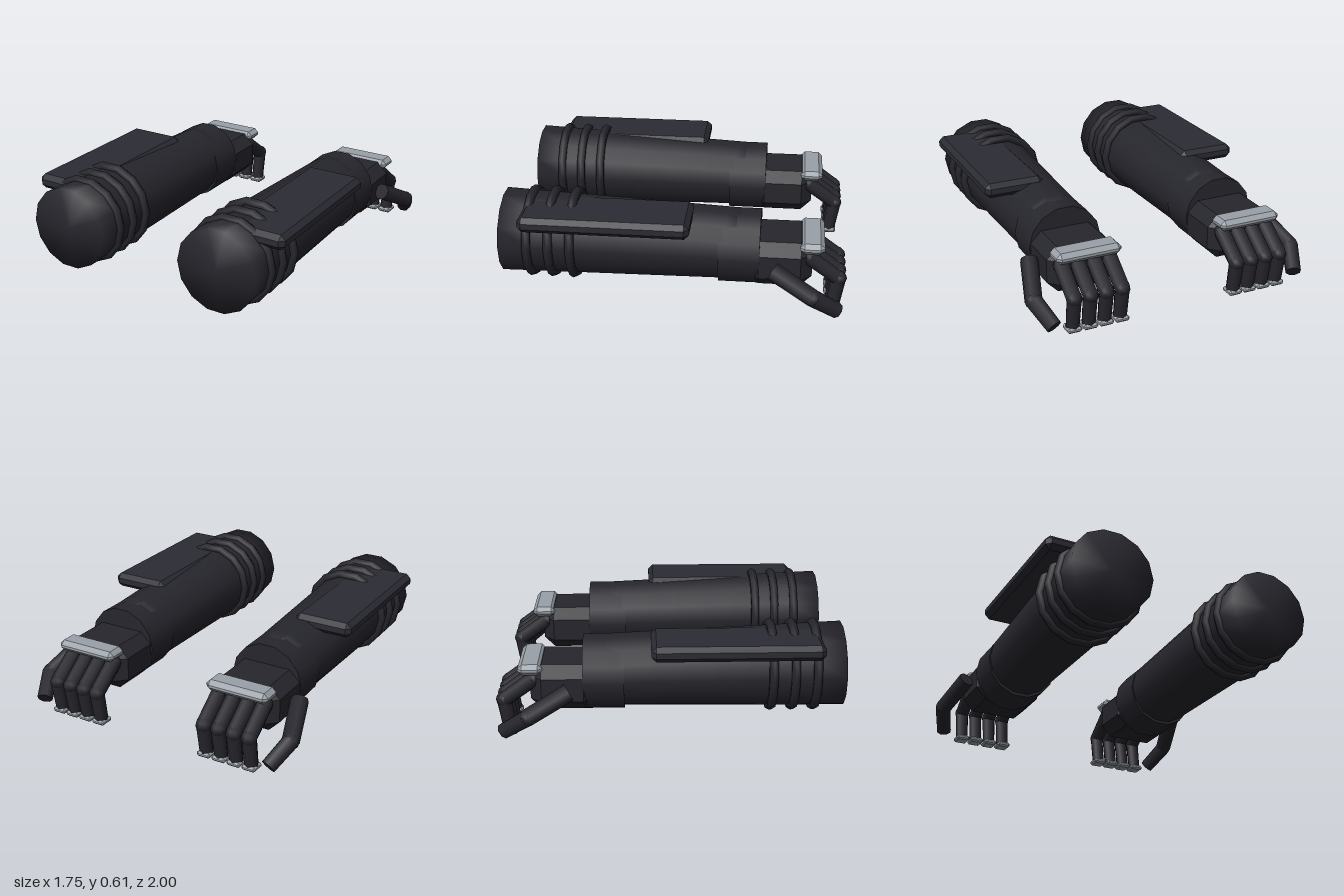
import * as THREE from 'three';
import { mergeVertices } from 'three/addons/utils/BufferGeometryUtils.js';
import { ConvexGeometry } from 'three/addons/geometries/ConvexGeometry.js';

const V = (x, y, z) => new THREE.Vector3(x, y, z);

function material(name, color) {
  const m = new THREE.MeshStandardMaterial({ color });
  m.name = name;
  return m;
}

// Box with every edge and corner cut at 45 degrees
function chamferBox(w, h, d, c) {
  const points = [];
  for (const sx of [-1, 1]) for (const sy of [-1, 1]) for (const sz of [-1, 1]) {
    const x = w / 2, y = h / 2, z = d / 2;
    points.push(
      V(sx * x, sy * (y - c), sz * (z - c)),
      V(sx * (x - c), sy * y, sz * (z - c)),
      V(sx * (x - c), sy * (y - c), sz * z));
  }
  return new ConvexGeometry(points);
}

// Cylinder between two points, with a corner on the +x side
function rodGeometry(a, b, ra, rb, sides, rows = 1) {
  const g = new THREE.CylinderGeometry(rb, ra, a.distanceTo(b), sides, rows);
  g.rotateY(Math.PI / 2);
  const dir = b.clone().sub(a).normalize();
  g.applyQuaternion(new THREE.Quaternion().setFromUnitVectors(V(0, 1, 0), dir));
  const mid = a.clone().add(b).multiplyScalar(0.5);
  return g.translate(mid.x, mid.y, mid.z);
}

// Blends the normals over the end caps
function soften(geometry) {
  geometry.deleteAttribute('normal');
  geometry.deleteAttribute('uv');
  const g = mergeVertices(geometry);
  g.computeVertexNormals();
  return g;
}

export function createModel() {
  const suit = material('dark suit', 0x26262d);
  const armor = material('dark armour', 0x2b2b34);
  const metal = material('light metal', 0x9aa1a8);
  const model = new THREE.Group();
  model.name = 'gauntlets';

  // s = +1 for the left arm, -1 for the right arm
  function buildArm(s) {
    const arm = new THREE.Group();
    arm.name = s > 0 ? 'leftArm' : 'rightArm';
    const cx = 0.503;
    const P = (x, y, z) => V(s * x, y, z);
    const add = (parent, name, geometry, mat, pos) => {
      const mesh = new THREE.Mesh(geometry, mat);
      mesh.name = name;
      if (pos) mesh.position.copy(pos);
      parent.add(mesh);
    };

    // Sleeve and cuff
    add(arm, 'forearm',
      soften(rodGeometry(P(cx, 0.324, -0.49), P(cx, 0.35, 0.997), 0.207, 0.248, 14, 8)), suit);
    add(arm, 'wristCuff',
      rodGeometry(P(cx, 0.316, -0.5), P(cx, 0.316, -0.265), 0.22, 0.22, 14), suit);

    // Raised bands near the elbow
    for (const z of [0.58, 0.705, 0.83]) {
      add(arm, 'sleeveRing', new THREE.TorusGeometry(0.245, 0.028, 6, 14), suit, P(cx, 0.347, z));
    }

    // Armour plate on the outer side
    add(arm, 'armPlate', chamferBox(0.36, 0.09, 0.97, 0.028), armor, P(0.65, 0.527, 0.375));

    // Hand
    const hand = new THREE.Group();
    hand.name = 'hand';
    arm.add(hand);
    add(hand, 'palm', chamferBox(0.42, 0.27, 0.37, 0.066), suit, P(0.505, 0.28, -0.615));
    add(hand, 'knucklePlate', chamferBox(0.385, 0.065, 0.14, 0.025), metal, P(0.508, 0.394, -0.797));

    // Curled fingers with metal tips
    for (let i = 0; i < 4; i++) {
      const x = 0.363 + i * 0.095;
      const knuckle = P(x, 0.33, -0.78), joint = P(x, 0.205, -0.953), tip = P(x, 0.02, -0.925);
      const finger = new THREE.Group();
      finger.name = 'finger';
      hand.add(finger);
      add(finger, 'fingerBase', rodGeometry(knuckle, joint, 0.047, 0.045, 8), suit);
      add(finger, 'knuckle', new THREE.SphereGeometry(0.047, 8, 6), suit, knuckle);
      add(finger, 'fingerJoint', new THREE.SphereGeometry(0.047, 8, 6), suit, joint);
      add(finger, 'fingerEnd', rodGeometry(joint, tip, 0.043, 0.04, 8), suit);
      add(finger, 'fingerTip', chamferBox(0.086, 0.032, 0.09, 0.011), metal, P(x, 0.016, -0.925));
    }

    // Thumb on the outer side
    const root = P(0.755, 0.288, -0.575), bend = P(0.825, 0.165, -0.81), end = P(0.765, 0.06, -0.95);
    const thumb = new THREE.Group();
    thumb.name = 'thumb';
    hand.add(thumb);
    add(thumb, 'thumbBase', rodGeometry(root, bend, 0.052, 0.05, 8), suit);
    add(thumb, 'thumbJoint', new THREE.SphereGeometry(0.05, 8, 6), suit, bend);
    add(thumb, 'thumbEnd', rodGeometry(bend, end, 0.05, 0.046, 8), suit);

    model.add(arm);
  }

  buildArm(1);
  buildArm(-1);
  return model;
}
